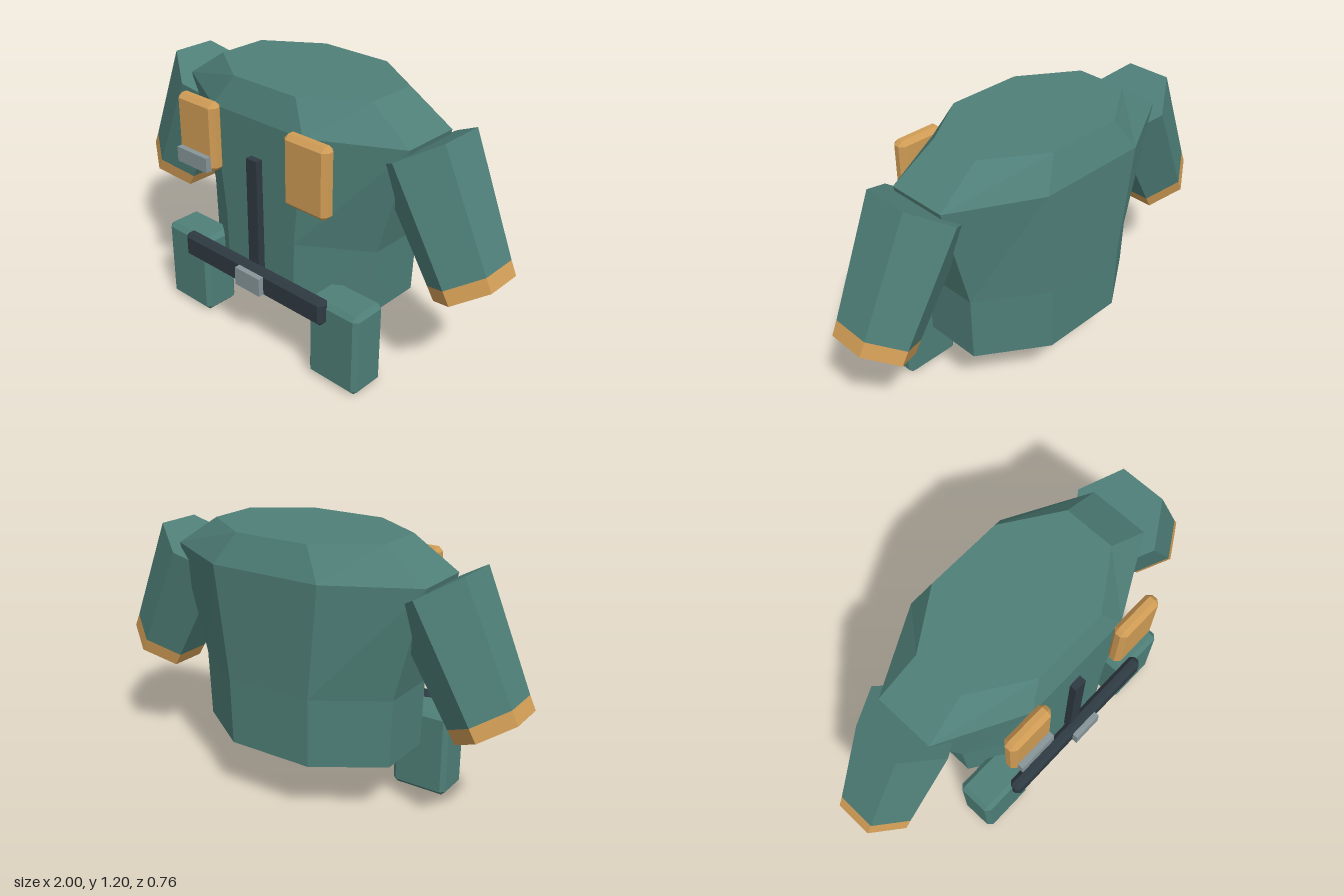
import * as THREE from 'three';
import { ConvexGeometry } from 'three/addons/geometries/ConvexGeometry.js';

const material = (name, color) => {
  const m = new THREE.MeshStandardMaterial({ color, flatShading: true });
  m.name = name;
  return m;
};

// Closed, faceted loft through rings ordered from bottom to top
function loft(rings) {
  const n = rings[0].length, pos = [];
  const tri = (...pts) => pts.forEach(p => pos.push(p.x, p.y, p.z));
  for (let k = 0; k + 1 < rings.length; k++) {
    const a = rings[k], b = rings[k + 1];
    for (let i = 0; i < n; i++) {
      const j = (i + 1) % n;
      tri(a[i], a[j], b[j]);
      tri(a[i], b[j], b[i]);
    }
  }
  const low = rings[0], high = rings[rings.length - 1];
  for (let i = 1; i + 1 < n; i++) {
    tri(low[0], low[i + 1], low[i]);
    tri(high[0], high[i], high[i + 1]);
  }
  const g = new THREE.BufferGeometry();
  g.setAttribute('position', new THREE.Float32BufferAttribute(pos, 3));
  g.computeVertexNormals();
  return g;
}

// Box with every edge cut at 45 degrees
function chamferBox(w, h, d, b) {
  const pts = [];
  for (const x of [-w / 2, w / 2]) for (const y of [-h / 2, h / 2]) for (const z of [-d / 2, d / 2]) {
    const ix = x - Math.sign(x) * b, iy = y - Math.sign(y) * b, iz = z - Math.sign(z) * b;
    pts.push(new THREE.Vector3(x, iy, iz), new THREE.Vector3(ix, y, iz), new THREE.Vector3(ix, iy, z));
  }
  return new ConvexGeometry(pts);
}

// Eight-sided torso ring given by half width and z extent
function torsoRing(y, halfX, zBack, zFront) {
  const k = Math.cos(Math.PI / 8), cz = (zBack + zFront) / 2, halfZ = (zFront - zBack) / 2;
  return Array.from({ length: 8 }, (_, i) => {
    const a = (i + 0.5) * Math.PI / 4;
    return new THREE.Vector3(Math.sin(a) * halfX / k, y, cz + Math.cos(a) * halfZ / k);
  });
}

// Six-sided arm ring, tilted with the outer side raised
function armRing(side, x, y, r) {
  return Array.from({ length: 6 }, (_, i) => {
    const a = i * Math.PI / 3, u = Math.sin(a) * r;
    return new THREE.Vector3(side * x + 0.86 * u, y + side * 0.51 * u, -0.042 + Math.cos(a) * r);
  });
}

export function createModel() {
  const group = new THREE.Group();
  group.name = 'jacket';
  const green = material('greenCloth', 0x4f7f78);
  const tan = material('tanLeather', 0xd09c55);
  const dark = material('darkStrap', 0x2e3a42);
  const grey = material('greyMetal', 0x87969a);

  const add = (name, geometry, mat, x = 0, y = 0, z = 0) => {
    const mesh = new THREE.Mesh(geometry, mat);
    mesh.name = name;
    mesh.position.set(x, y, z);
    group.add(mesh);
  };

  add('torso', loft([
    torsoRing(0.265, 0.48, -0.36, 0.28),
    torsoRing(0.57, 0.49, -0.366, 0.281),
    torsoRing(1.065, 0.62, -0.378, 0.284),
    torsoRing(1.2, 0.42, -0.325, 0.237),
  ]), green);

  for (const side of [-1, 1]) {
    const label = side > 0 ? 'left' : 'right';
    // Sleeve and cuff share a ring
    const seam = armRing(side, 0.843, 0.563, 0.175);
    add(label + 'Sleeve', loft([seam, armRing(side, 0.6, 1.034, 0.21)]), green);
    add(label + 'Cuff', loft([armRing(side, 0.874, 0.505, 0.172), seam]), tan);
    // Hip and chest pouches
    add(label + 'HipPouch', chamferBox(0.265, 0.39, 0.176, 0.02), green, side * 0.448, 0.197, 0.232);
    add(label + 'ChestPouch', chamferBox(0.226, 0.31, 0.066, 0.02), tan, side * 0.314, 0.935, 0.312);
  }

  // Front fittings
  add('chestTag', new THREE.BoxGeometry(0.185, 0.068, 0.03), grey, -0.313, 0.82, 0.356);
  add('frontPlacket', new THREE.BoxGeometry(0.06, 0.55, 0.045), dark, -0.003, 0.625, 0.293);
  add('belt', chamferBox(0.84, 0.12, 0.06, 0.018), dark, 0, 0.352, 0.325);
  add('buckle', new THREE.BoxGeometry(0.147, 0.086, 0.04), grey, 0.018, 0.352, 0.361);
  return group;
}
